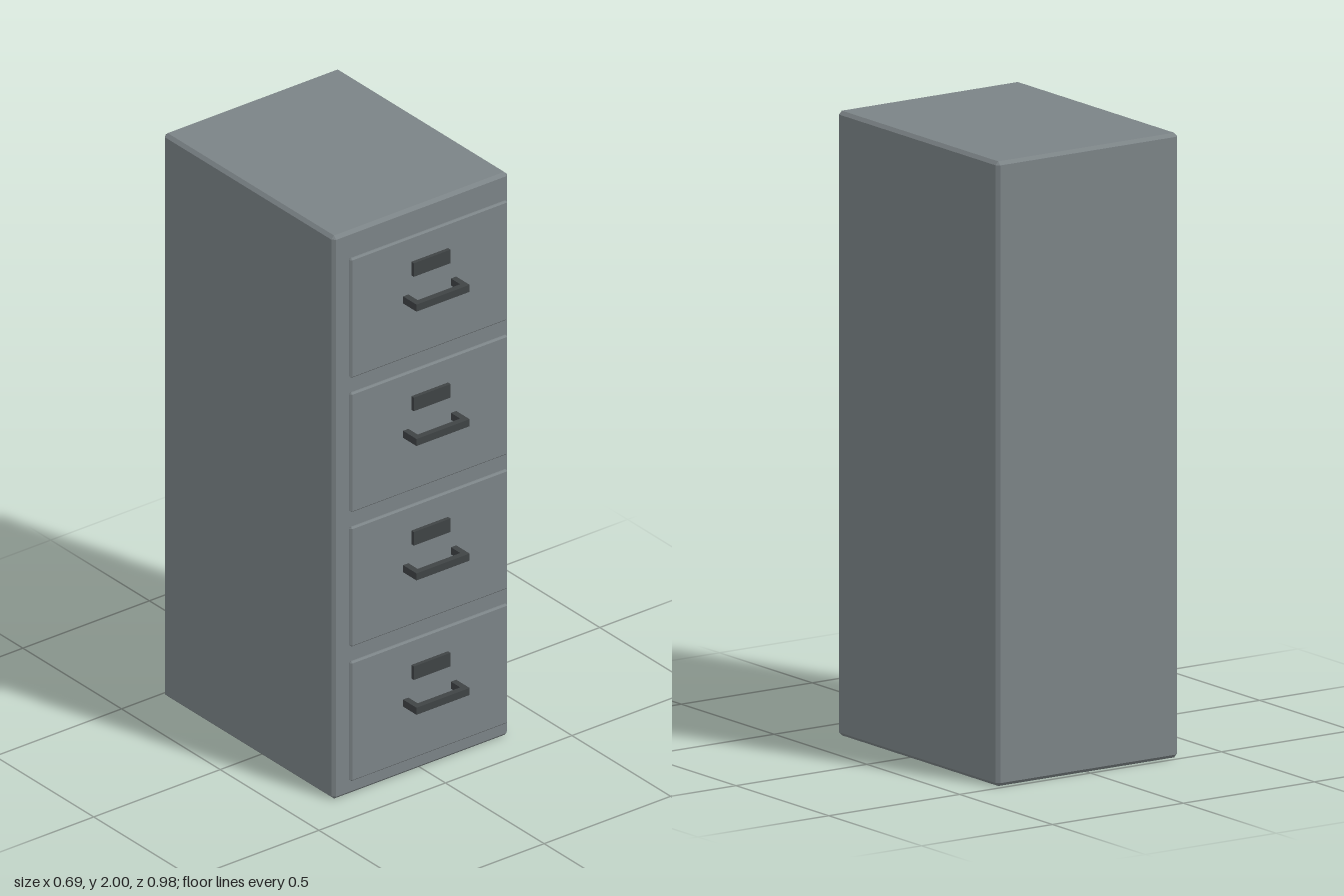
import * as THREE from 'three';
import { ConvexGeometry } from 'three/addons/geometries/ConvexGeometry.js';

const paint = new THREE.MeshStandardMaterial({ color: 0x7b8386, flatShading: true });
const dark = new THREE.MeshStandardMaterial({ color: 0x3f4345, flatShading: true });

// Box with flat chamfers of width b on every edge
function chamferBox(w, h, d, b) {
  const points = [];
  for (const x of [-1, 1]) for (const y of [-1, 1]) for (const z of [-1, 1]) {
    for (let axis = 0; axis < 3; axis++) {
      const inset = [b, b, b];
      inset[axis] = 0;
      points.push(new THREE.Vector3(
        x * (w / 2 - inset[0]), y * (h / 2 - inset[1]), z * (d / 2 - inset[2])));
    }
  }
  return new ConvexGeometry(points);
}

function addMesh(parent, name, geometry, material, x, y, z) {
  const mesh = new THREE.Mesh(geometry, material);
  mesh.name = name;
  mesh.position.set(x, y, z);
  parent.add(mesh);
}

// U-shaped pull: outline drawn in plan, given height downwards from y = 0
function handleGeometry(halfWidth, reach, thickness, height) {
  const i = halfWidth - thickness;
  const outline = [
    [-halfWidth, 0], [-i, 0], [-i, reach - thickness], [i, reach - thickness],
    [i, 0], [halfWidth, 0], [halfWidth, reach], [-halfWidth, reach],
  ].map(([x, y]) => new THREE.Vector2(x, y));
  const geometry = new THREE.ExtrudeGeometry(new THREE.Shape(outline),
    { depth: height, bevelEnabled: false });
  return geometry.rotateX(Math.PI / 2);
}

export function createModel() {
  const model = new THREE.Group();
  model.name = 'filingCabinet';

  // Cabinet body
  addMesh(model, 'cabinetBody', chamferBox(0.694, 2, 0.865, 0.011), paint, 0, 1, -0.055);

  // Four drawers, each with front panel, label plate and pull
  const panel = chamferBox(0.62, 0.424, 0.014, 0.005);
  const label = new THREE.BoxGeometry(0.145, 0.048, 0.014);
  const pull = handleGeometry(0.105, 0.069, 0.021, 0.025);
  for (let i = 0; i < 4; i++) {
    const drawer = new THREE.Group();
    drawer.name = `drawer${i + 1}`;
    drawer.position.set(0, 0.285 + i * 0.4773, 0.413);
    addMesh(drawer, 'drawerFront', panel, paint, 0, 0, 0);
    addMesh(drawer, 'labelPlate', label, dark, 0, 0.1, 0.013);
    addMesh(drawer, 'drawerHandle', pull, dark, 0, 0.012, 0.006);
    model.add(drawer);
  }
  return model;
}
